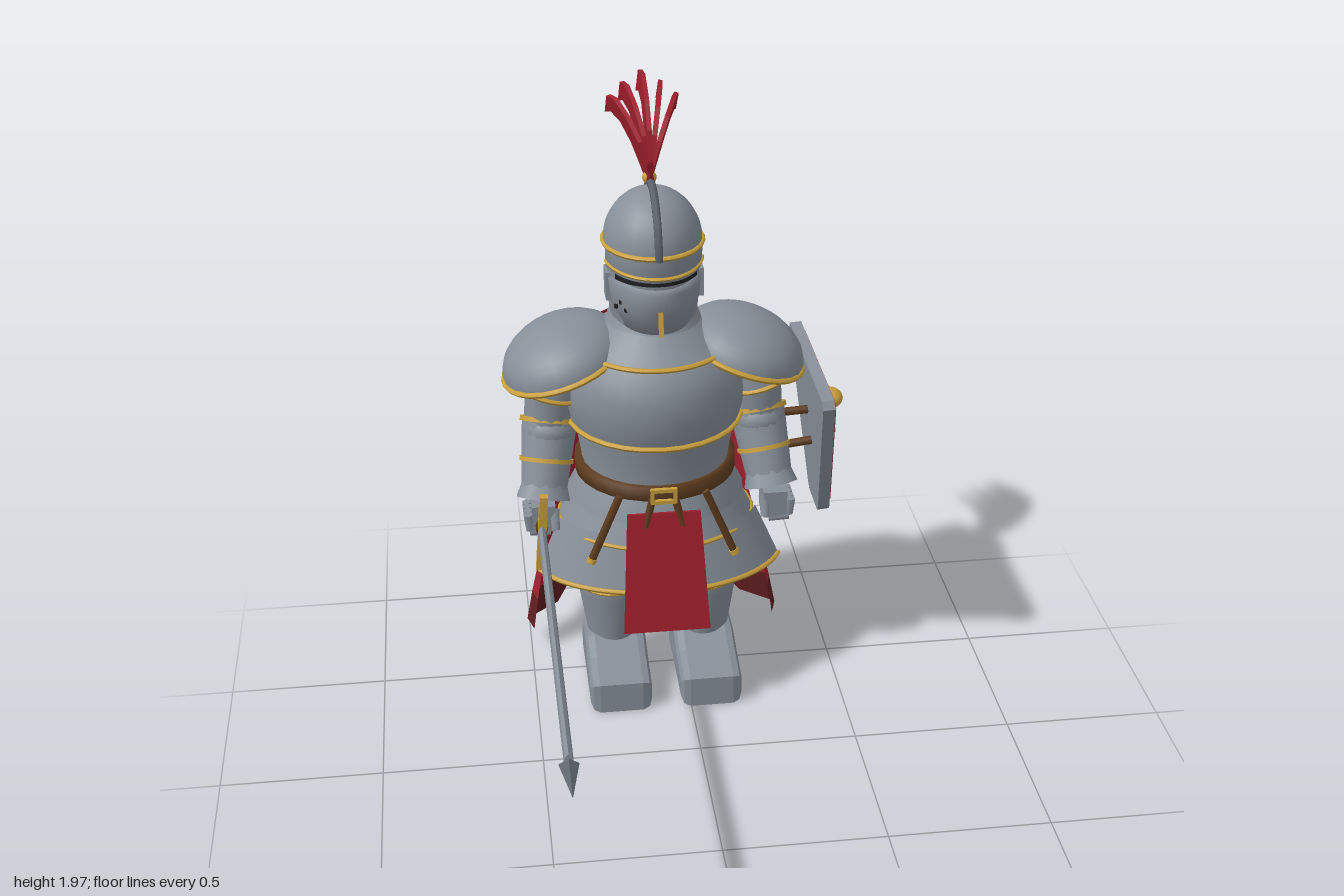
import * as THREE from 'three';

const V = (x, y, z) => new THREE.Vector3(x, y, z);
const CZ = -0.54; // depth of the body axis

export function createModel() {
  const mat = (name, color) => Object.assign(
    new THREE.MeshStandardMaterial({ color, side: THREE.DoubleSide }), { name });
  const steel = mat('steel', 0x878f99), darkSteel = mat('darkSteel', 0x5c636c);
  const gold = mat('gold', 0xc99f3c), red = mat('redCloth', 0xa01f2d);
  const darkRed = mat('darkRedHem', 0x5e1c1f), brown = mat('leather', 0x5e3c1e);
  const black = mat('blackSlit', 0x1d1f22);

  const model = new THREE.Group();
  model.name = 'knight';
  const body = new THREE.Group();
  body.name = 'figure';
  body.position.x = -0.08;
  model.add(body);

  const add = (parent, name, geo, material, pos = V(0, 0, 0), rot = [0, 0, 0], scale = [1, 1, 1]) => {
    const m = new THREE.Mesh(geo, material);
    m.name = name;
    m.position.copy(pos);
    m.rotation.set(...rot);
    m.scale.set(...scale);
    parent.add(m);
    return m;
  };
  const group = (parent, name, pos = V(0, 0, 0)) => {
    const g = new THREE.Group();
    g.name = name;
    g.position.copy(pos);
    parent.add(g);
    return g;
  };
  const flat = (geo) => {
    const g = geo.index ? geo.toNonIndexed() : geo;
    g.computeVertexNormals();
    return g;
  };
  // Turned shell: [radius, height] pairs; arc is the half angle around the front
  const shell = (pts, arc = Math.PI, segs = 28) => new THREE.LatheGeometry(
    pts.map((p) => new THREE.Vector2(...p)), segs, -arc, arc * 2);
  // Round bead that follows a shell's edge
  const bead = (r, y, t = 0.009, arc = Math.PI) => {
    const pts = [];
    for (let i = 0; i <= 6; i++) pts.push([r + t * Math.cos(i * Math.PI / 3), y + t * Math.sin(i * Math.PI / 3)]);
    return shell(pts, arc);
  };
  // Cylinder between two points, radius ra at a and rb at b
  const limb = (parent, name, material, a, b, ra, rb = ra, sides = 16) => {
    const d = b.clone().sub(a);
    const m = add(parent, name, new THREE.CylinderGeometry(rb, ra, d.length(), sides), material, a.clone().add(b).multiplyScalar(0.5));
    m.quaternion.setFromUnitVectors(V(0, 1, 0), d.normalize());
    return m;
  };
  const box = (x, y, z) => new THREE.BoxGeometry(x, y, z);
  const ball = () => new THREE.SphereGeometry(1, 18, 12);
  const axis = V(0, 0, CZ);

  // Torso
  add(body, 'breastplate', shell([[0.255, 0.92], [0.27, 0.94], [0.287, 1.02], [0.285, 1.09], [0.265, 1.15], [0.225, 1.2], [0.16, 1.25], [0.12, 1.3]]), steel, axis);
  add(body, 'waistplate', shell([[0.24, 0.74], [0.235, 0.8], [0.255, 0.93]]), steel, axis);
  add(body, 'chestTrim', bead(0.274, 0.94), gold, axis);
  add(body, 'collarTrim', bead(0.236, 1.19, 0.008, 1.3), gold, axis);
  add(body, 'neckGuard', shell([[0.175, 1.235], [0.15, 1.26], [0.135, 1.3]]), steel, V(0, 0, -0.54));

  // Belt, buckle and hanging straps
  add(body, 'belt', shell([[0.235, 0.75], [0.258, 0.75], [0.258, 0.795], [0.235, 0.795]]), brown, axis);
  const buckle = group(body, 'buckle', V(0, 0.772, CZ + 0.263));
  for (const s of [-1, 1]) {
    add(buckle, 'buckleSide', box(0.012, 0.05, 0.014), gold, V(s * 0.036, 0, 0));
    add(buckle, 'buckleBar', box(0.08, 0.012, 0.014), gold, V(0, s * 0.02, 0));
    limb(body, 'outerStrap', brown, V(s * 0.135, 0.76, -0.315), V(s * 0.225, 0.54, -0.315), 0.013, 0.013, 6);
    limb(body, 'strapTip', gold, V(s * 0.225, 0.54, -0.315), V(s * 0.231, 0.525, -0.313), 0.016, 0.016, 6);
    limb(body, 'innerStrap', brown, V(s * 0.035, 0.76, -0.285), V(s * 0.085, 0.56, -0.27), 0.012, 0.012, 6);
  }

  // Layered skirt plates
  add(body, 'upperFauld', shell([[0.24, 0.76], [0.285, 0.67], [0.275, 0.665]]), steel, axis, [0, 0, 0], [1, 1, 0.94]);
  add(body, 'lowerFauld', shell([[0.265, 0.68], [0.315, 0.58]]), steel, axis, [0, 0, 0], [1, 1, 0.84]);
  add(body, 'fauldTrim', bead(0.315, 0.58, 0.007), gold, axis, [0, 0, 0], [1, 1, 0.84]);
  add(body, 'frontTasset', shell([[0.335, 0.61], [0.415, 0.435]], 1.25), steel, axis, [0, 0, 0], [1, 1, 0.7]);
  add(body, 'tassetTrim', bead(0.415, 0.435, 0.009, 1.25), gold, axis, [0, 0, 0], [1, 1, 0.7]);

  // Front cloth
  const cloth = new THREE.Shape([[-0.138, -0.2], [0.138, -0.2], [0.115, 0.2], [-0.115, 0.2]].map((p) => new THREE.Vector2(...p)));
  add(body, 'tabard', new THREE.ExtrudeGeometry(cloth, { depth: 0.012, bevelEnabled: false }), red, V(0, 0.512, -0.252), [-0.18, 0, 0]);

  // Helmet
  const head = group(body, 'helmet', V(0, 0, -0.53));
  add(head, 'helmetBowl', shell([[0.115, 1.26], [0.135, 1.3], [0.144, 1.4], [0.146, 1.53]]), steel, undefined, [0, 0, 0], [1, 1, 1.1]);
  add(head, 'helmetDome', new THREE.SphereGeometry(1, 24, 10, 0, Math.PI * 2, 0, Math.PI / 2), steel, V(0, 1.525, 0), [0, 0, 0], [0.152, 0.165, 0.172]);
  add(head, 'domeTrim', bead(0.152, 1.53, 0.008), gold, undefined, [0, 0, 0], [1, 1, 1.14]);
  add(head, 'crestRidge', new THREE.TorusGeometry(0.17, 0.013, 6, 24, Math.PI), darkSteel, V(0, 1.525, 0), [0, Math.PI / 2, 0], [1.05, 1, 1]);
  add(head, 'visor', shell([[0.08, 1.275], [0.115, 1.285], [0.14, 1.36], [0.147, 1.43], [0.13, 1.44]], 1.55), steel, undefined, [0, 0, 0], [1, 1, 1.5]);
  add(head, 'eyeSlit', shell([[0.147, 1.44], [0.147, 1.475]], 1.0), black, undefined, [0, 0, 0], [1, 1, 1.16]);
  add(head, 'browPlate', shell([[0.135, 1.462], [0.149, 1.465], [0.15, 1.525]], 1.4), steel, undefined, [0, 0, 0], [1, 1, 1.35]);
  add(head, 'browTrim', bead(0.149, 1.478, 0.006, 1.4), gold, undefined, [0, 0, 0], [1, 1, 1.35]);
  add(head, 'visorStrip', box(0.014, 0.14, 0.012), gold, V(0, 1.37, 0.208), [-0.28, 0, 0]);
  for (const s of [-1, 1]) add(head, 'visorHinge', box(0.02, 0.09, 0.07), steel, V(s * 0.14, 1.4, 0.02));
  for (let i = 0; i < 4; i++) {
    add(head, 'breathHole', box(0.01, 0.012, 0.008), black, V(-0.125 + i * 0.014, 1.36 + (i % 2) * 0.02, 0.112 + i * 0.017), [0, -0.8, 0]);
  }

  // Plume: flat curved feathers fanned about one socket
  const plume = group(body, 'plume', V(0, 1.69, -0.6));
  add(plume, 'plumeSocket', ball(), gold, V(0, 0.005, -0.005), [0, 0, 0], [0.022, 0.022, 0.022]);
  const feather = new THREE.Shape([[-0.03, 0], [-0.045, 0.07], [-0.02, 0.16], [0.05, 0.235], [0.15, 0.278], [0.24, 0.265],
    [0.33, 0.17], [0.24, 0.2], [0.15, 0.19], [0.08, 0.13], [0.04, 0.04], [0.03, 0]].map((p) => new THREE.Vector2(...p)));
  const featherGeo = new THREE.ExtrudeGeometry(feather, { depth: 0.014, bevelEnabled: false }).translate(0, 0, -0.007).rotateY(Math.PI / 2);
  for (let i = -2; i <= 2; i++) {
    const k = 1 - 0.09 * Math.abs(i);
    const f = add(plume, 'feather', featherGeo, red, undefined, [0, -i * 0.13, -i * 0.13], [1, k, k]);
    f.rotation.order = 'YZX';
  }

  // Cape: folded hem outline blended up to a smooth shoulder line
  const half = [[0, -0.99], [0.13, -0.905], [0.27, -0.92], [0.32, -0.79], [0.43, -0.7], [0.41, -0.63]];
  const hem = [...half.slice(1).reverse().map(([x, z]) => [-x, z]), ...half];
  const rows = [[1.2, 0], [1.08, 0.2], [0.91, 0.4], [0.6, 0.56], [0.19, 0.92], [0.08, 1]];
  const capePart = (name, from, to, material) => {
    const pos = [], idx = [], n = hem.length;
    for (const [y, t] of rows.slice(from, to + 1)) {
      hem.forEach(([x, z], j) => {
        const a = (j / (n - 1) - 0.5) * 2;
        pos.push(x * t + a * 0.21 * (1 - t), y - (1 - t) * 0.03 * a * a, z * t + (-0.81 + 0.08 * a * a) * (1 - t));
      });
    }
    for (let r = 0; r < to - from; r++) {
      for (let j = 0; j < n - 1; j++) {
        const a = r * n + j, b = a + n;
        idx.push(a, a + 1, b, a + 1, b + 1, b);
      }
    }
    const g = new THREE.BufferGeometry();
    g.setAttribute('position', new THREE.Float32BufferAttribute(pos, 3));
    g.setIndex(idx);
    add(body, name, flat(g), material);
  };
  capePart('cape', 0, 4, red);
  capePart('capeHem', 4, 5, darkRed);

  // Foot outline seen from the side
  const sole = new THREE.Shape([[-0.22, 0.025], [0.13, 0.025], [0.13, 0.085], [0.02, 0.11], [-0.06, 0.14], [-0.17, 0.14], [-0.22, 0.09]].map((p) => new THREE.Vector2(...p)));
  const footGeo = flat(new THREE.ExtrudeGeometry(sole, { depth: 0.14, bevelThickness: 0.03, bevelSize: 0.025, bevelSegments: 2 })
    .translate(0, 0, -0.07).rotateY(-Math.PI / 2));

  for (const s of [-1, 1]) {
    const side = s > 0 ? 'left' : 'right';

    // Legs
    const leg = group(body, side + 'Leg', V(s * 0.148, 0, -0.51));
    add(leg, 'thigh', shell([[0.105, 0.4], [0.112, 0.5], [0.12, 0.66]]), steel, V(0, 0, -0.01));
    add(leg, 'greave', shell([[0.082, 0.1], [0.088, 0.16], [0.112, 0.32], [0.116, 0.38], [0.1, 0.41]]), steel, undefined, [0, 0, 0], [1, 1, 1.08]);
    add(leg, 'greaveTrim', bead(0.115, 0.352, 0.006), gold, undefined, [0, 0, 0], [1, 1, 1.08]);
    add(leg, 'kneeCap', ball(), steel, V(0, 0.415, 0.05), [0, 0, 0], [0.095, 0.05, 0.085]);
    add(leg, 'foot', footGeo, steel, V(0, 0, 0.125));
    for (const [z, y] of [[0.17, 0.116], [0.11, 0.132]]) add(leg, 'toePlate', box(0.175, 0.012, 0.05), steel, V(0, y, z), [0.24, 0, 0]);

    // Shoulder plates
    const shoulder = group(body, side + 'Shoulder', V(s * 0.28, 1.14, -0.54));
    shoulder.rotation.z = -s * 0.33;
    add(shoulder, 'pauldron', new THREE.SphereGeometry(1, 22, 10, 0, Math.PI * 2, 0, Math.PI / 2), steel, undefined, [0, 0, 0], [0.2, 0.13, 0.217]);
    add(shoulder, 'pauldronTrim', bead(0.2, 0, 0.01), gold, undefined, [0, 0, 0], [1, 1, 1.08]);
    const lower = group(body, side + 'ShoulderLame', V(s * 0.335, 1.045, -0.54));
    lower.rotation.z = s * 0.3;
    add(lower, 'lame', shell([[0.112, 0], [0.105, 0.05], [0.085, 0.1]]), steel);
    add(lower, 'lameTrim', bead(0.112, 0, 0.008), gold);

    // Arms
    const arm = group(body, side + 'Arm');
    const elbow = V(s * 0.335, 0.9, -0.55), wrist = V(s * 0.365, 0.7, -0.46);
    limb(arm, 'upperArm', steel, V(s * 0.315, 1.14, -0.55), elbow, 0.085, 0.08);
    add(arm, 'elbowGuard', ball(), steel, elbow, [0, 0, 0], [0.088, 0.07, 0.095]);
    const at = (t) => elbow.clone().lerp(wrist, t);
    limb(arm, 'forearm', steel, at(-0.1), at(1), 0.09, 0.072);
    limb(arm, 'forearmTrim', gold, at(-0.12), at(-0.05), 0.096);
    limb(arm, 'gauntletTrim', gold, at(0.46), at(0.52), 0.087);
    limb(arm, 'gauntletCuff', steel, at(0.8), at(1.05), 0.072, 0.088, 10);
    add(arm, 'palm', flat(box(0.075, 0.09, 0.1)), steel, V(s * 0.37, 0.655, -0.43));
    for (let i = 0; i < 4; i++) {
      const z = -0.475 + i * 0.028;
      limb(arm, 'finger', steel, V(s * 0.42, 0.67, z), V(s * 0.415, 0.615, z), 0.016, 0.014, 6);
      limb(arm, 'fingerTip', steel, V(s * 0.415, 0.61, z), V(s * 0.35, 0.605, z), 0.015, 0.013, 6);
    }
    limb(arm, 'thumb', steel, V(s * 0.335, 0.68, -0.4), V(s * 0.335, 0.62, -0.37), 0.018, 0.014, 6);
  }

  // Sword, held level in the right hand
  const sword = group(body, 'sword', V(-0.38, 0.636, 0));
  add(sword, 'blade', flat(new THREE.CylinderGeometry(0.03, 0.03, 1.175, 8).rotateX(Math.PI / 2)), steel, V(0, 0, 0.2675), [0, 0, 0], [0.45, 1, 1]);
  add(sword, 'bladeTip', flat(new THREE.ConeGeometry(1, 0.145, 4).rotateX(Math.PI / 2)), darkSteel, V(0, 0, 0.9275), [0, 0, 0], [0.028, 0.017, 1]);
  add(sword, 'crossGuard', box(0.026, 0.26, 0.03), gold, V(0, 0, -0.335), [0, 0, -0.08]);
  limb(sword, 'grip', brown, V(0, 0, -0.34), V(0, 0, -0.53), 0.018, 0.018, 8);
  add(sword, 'pommel', ball(), gold, V(0, 0, -0.545), [0, 0, 0], [0.028, 0.028, 0.028]);

  // Shield on the left arm, leaning with its foot outward
  const shield = group(body, 'shield', V(0.52, 0.84, -0.53));
  shield.rotation.z = 0.08;
  const face = group(shield, 'shieldFace');
  face.rotation.y = Math.PI / 2;
  const plate = (inset, depth) => {
    const w = 0.305 - inset * 1.6, t = 0.25 - inset, b = 0.09 - inset * 0.7, f = -0.26 + inset;
    const pts = [[-b + 0.02, f], [b - 0.02, f], [b, f + 0.02], [w, t - 0.025], [w - 0.015, t], [-w + 0.015, t], [-w, t - 0.025], [-b, f + 0.02]];
    return new THREE.ExtrudeGeometry(new THREE.Shape(pts.map((p) => new THREE.Vector2(...p))), { depth, bevelEnabled: false });
  };
  add(face, 'shieldPlate', plate(0, 0.038), steel, V(0, 0, -0.019));
  add(face, 'shieldField', plate(0.02, 0.007), red, V(0, 0, 0.019));
  add(face, 'crossUpright', box(0.066, 0.34, 0.009), gold, V(0, 0.03, 0.03));
  add(face, 'crossArm', box(0.375, 0.042, 0.009), gold, V(0, 0.105, 0.0305));
  add(face, 'boss', ball(), gold, V(0, 0.108, 0.045), [0, 0, 0], [0.053, 0.032, 0.05]);
  limb(body, 'upperShieldStrap', brown, V(0.34, 0.9, -0.54), V(0.51, 0.91, -0.54), 0.014, 0.014, 8);
  limb(body, 'lowerShieldStrap', brown, V(0.35, 0.8, -0.5), V(0.52, 0.82, -0.5), 0.014, 0.014, 8);

  return model;
}
